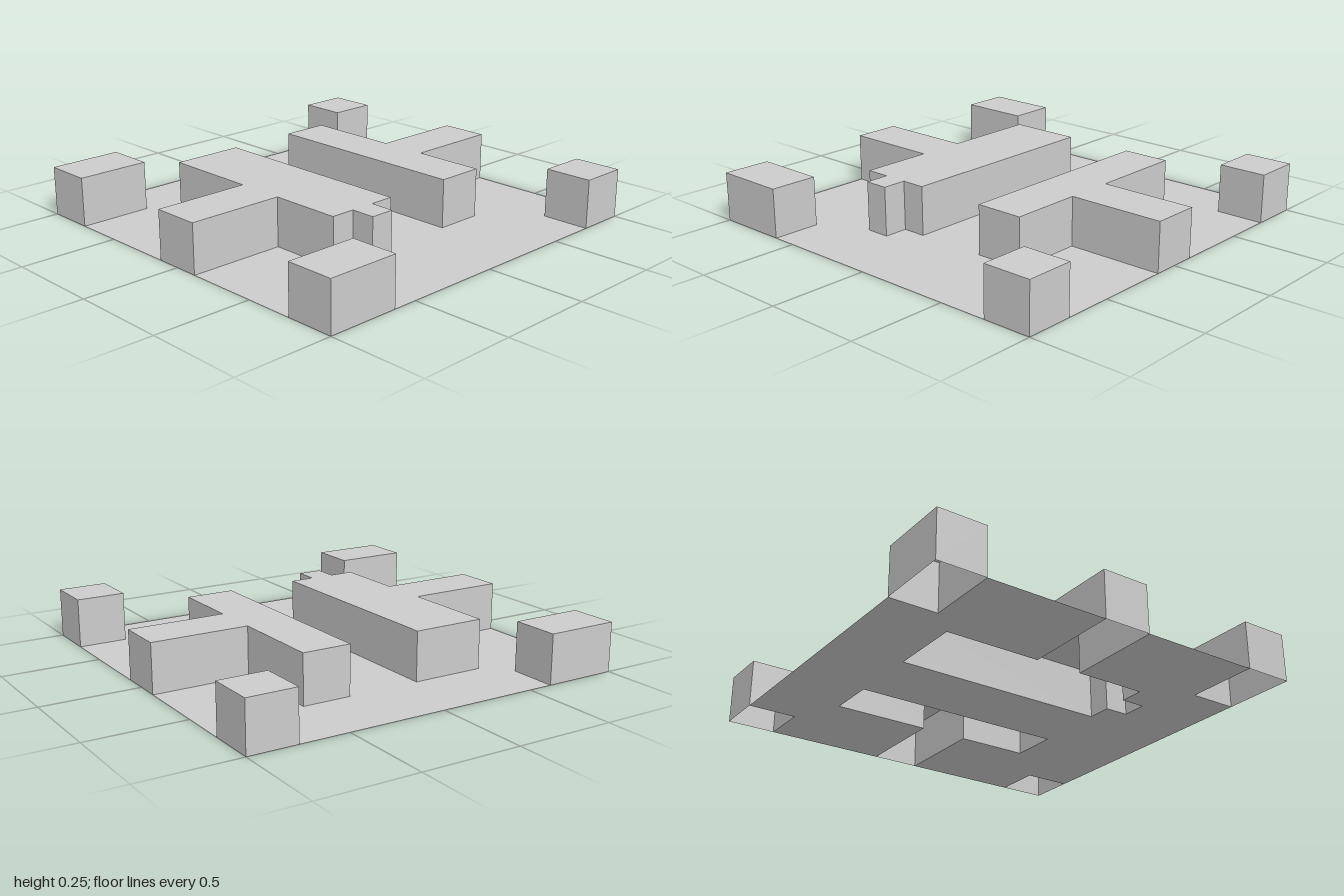
import * as THREE from 'three';
import { mergeGeometries } from 'three/addons/utils/BufferGeometryUtils.js';

const HEIGHT = 0.25;
const material = new THREE.MeshStandardMaterial({
  color: 0xcccccc, flatShading: true, side: THREE.DoubleSide,
});

// Flat horizontal sheet from an [x, z] outline, facing up
function sheet(outline, y) {
  const shape = new THREE.Shape(outline.map(([x, z]) => new THREE.Vector2(x, -z)));
  return new THREE.ShapeGeometry(shape).rotateX(-Math.PI / 2).translate(0, y, 0);
}

// Hollow block, open underneath: a top sheet and one wall per outline edge.
// Outlines run counter-clockwise as seen from above.
function hollowBlock(outline) {
  const pieces = [sheet(outline, HEIGHT)];
  outline.forEach(([x0, z0], i) => {
    const [x1, z1] = outline[(i + 1) % outline.length];
    pieces.push(new THREE.PlaneGeometry(Math.hypot(x1 - x0, z1 - z0), HEIGHT)
      .rotateY(Math.atan2(z0 - z1, x1 - x0))
      .translate((x0 + x1) / 2, HEIGHT / 2, (z0 + z1) / 2));
  });
  return mergeGeometries(pieces);
}

const rect = (x0, x1, z0, z1) => [[x0, z1], [x1, z1], [x1, z0], [x0, z0]];

export function createModel() {
  const group = new THREE.Group();
  const add = (name, geometry) => {
    const mesh = new THREE.Mesh(geometry, material);
    mesh.name = name;
    group.add(mesh);
  };

  // Corner blocks
  add('backRightCorner', hollowBlock(rect(-1, -0.625, -1, -0.75)));
  add('frontRightCorner', hollowBlock(rect(-1, -0.625, 0.75, 1)));
  add('backLeftCorner', hollowBlock(rect(0.75, 1, -1, -0.75)));
  add('frontLeftCorner', hollowBlock(rect(0.75, 1, 0.75, 1)));

  // T-shaped walls reaching in from the sides; the right one has a small front nub
  const rightWall = [
    [-1, 0.125], [-0.5, 0.125], [-0.5, 0.5], [-0.375, 0.5], [-0.375, 0.625],
    [-0.25, 0.625], [-0.25, 0.5], [-0.125, 0.5], [-0.125, -0.625],
    [-0.5, -0.625], [-0.5, -0.125], [-1, -0.125],
  ];
  const leftWall = [
    [1, -0.125], [0.5, -0.125], [0.5, -0.625], [0.25, -0.625],
    [0.25, 0.5], [0.5, 0.5], [0.5, 0.125], [1, 0.125],
  ];
  add('rightWall', hollowBlock(rightWall));
  add('leftWall', hollowBlock(leftWall));

  // Floor, cut away beneath every block
  add('floor', sheet([
    [-0.625, 1], [0.75, 1], [0.75, 0.75], [1, 0.75],
    ...[...leftWall].reverse(),
    [1, -0.75], [0.75, -0.75], [0.75, -1], [-0.625, -1], [-0.625, -0.75], [-1, -0.75],
    ...[...rightWall].reverse(),
    [-1, 0.75], [-0.625, 0.75],
  ], 0));

  return group;
}
